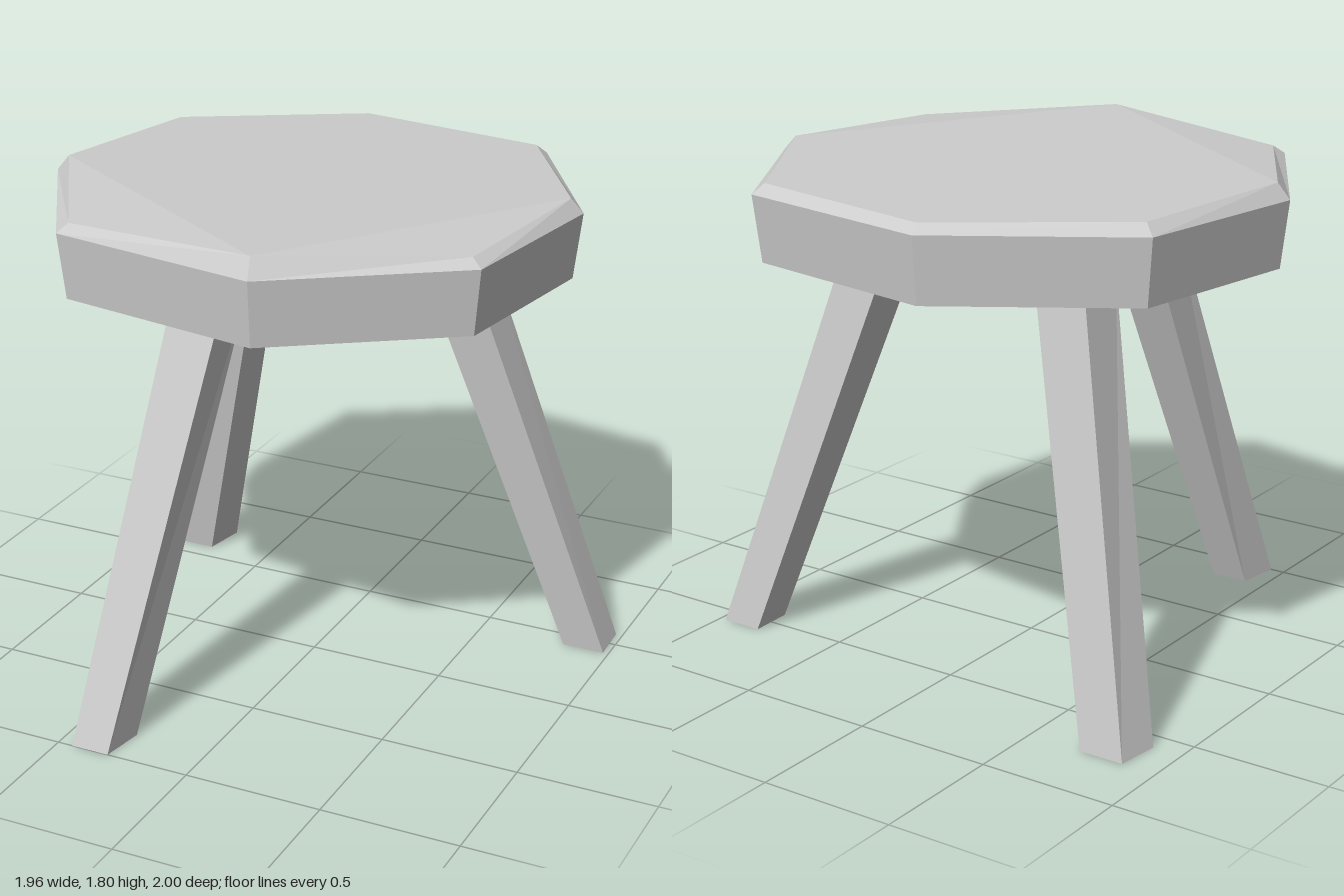
import * as THREE from 'three';

// Joins rings of [x, y, z] points (bottom to top, clockwise seen from above)
// into a closed flat-sided solid; both caps fan out from corner `hub`.
function loft(rings, hub = 0) {
  const n = rings[0].length;
  const points = [];
  const tri = (a, b, c) => points.push(...a, ...b, ...c);
  for (let r = 0; r < rings.length - 1; r++) {
    const low = rings[r], up = rings[r + 1];
    for (let i = 0; i < n; i++) {
      const j = (i + 1) % n;
      tri(low[j], low[i], up[i]);
      tri(low[j], up[i], up[j]);
    }
  }
  const bottom = rings[0], top = rings[rings.length - 1];
  for (let k = 1; k < n - 1; k++) {
    const i = (hub + k) % n, j = (hub + k + 1) % n;
    tri(bottom[hub], bottom[i], bottom[j]);
    tri(top[hub], top[j], top[i]);
  }
  const geometry = new THREE.BufferGeometry();
  geometry.setAttribute('position', new THREE.Float32BufferAttribute(points, 3));
  geometry.computeVertexNormals();
  return geometry;
}

export function createModel() {
  const group = new THREE.Group();
  const grey = new THREE.MeshStandardMaterial({ color: 0xcccccc, flatShading: true });
  grey.name = 'plain grey';

  const add = (name, geometry) => {
    const mesh = new THREE.Mesh(geometry, grey);
    mesh.name = name;
    group.add(mesh);
  };

  // Seat: uneven octagonal slab with a narrow bevel and a slightly warped top
  const rim = [
    [-0.24, -1.0], [0.52, -0.87], [0.88, -0.27], [0.78, 0.4],
    [0.16, 0.82], [-0.62, 0.68], [-0.98, 0.07], [-0.87, -0.6],
  ];
  const topHeights = [1.765, 1.77, 1.785, 1.765, 1.805, 1.765, 1.79, 1.775];
  const centre = [-0.05, -0.09];
  const ring = (scale, height) => rim.map(([x, z], i) => [
    centre[0] + (x - centre[0]) * scale,
    height(i),
    centre[1] + (z - centre[1]) * scale,
  ]);
  add('seat', loft([
    ring(0.97, () => 1.5),
    ring(1, () => 1.735),
    ring(0.953, (i) => topHeights[i]),
  ], 4));

  // Legs: splayed, tapering posts; foot corners run clockwise from back left,
  // head is [left, right, back, front] where the leg meets the seat
  const legs = {
    frontLeg: {
      foot: [[-0.42, 0.84], [-0.28, 0.84], [-0.305, 1.0], [-0.445, 1.0]],
      head: [-0.3, -0.11, 0.285, 0.475],
    },
    backLeftLeg: {
      foot: [[0.82, -0.58], [0.975, -0.58], [0.98, -0.42], [0.825, -0.42]],
      head: [0.31, 0.5, -0.39, -0.2],
    },
    backRightLeg: {
      foot: [[-0.87, -0.74], [-0.705, -0.74], [-0.735, -0.58], [-0.89, -0.58]],
      head: [-0.545, -0.35, -0.49, -0.3],
    },
  };
  for (const [name, { foot, head: [l, r, b, f] }] of Object.entries(legs)) {
    const head = [[l, b], [r, b], [r, f], [l, f]];
    add(name, loft([
      foot.map(([x, z]) => [x, 0, z]),
      head.map(([x, z]) => [x, 1.5, z]),
    ]));
  }

  return group;
}
